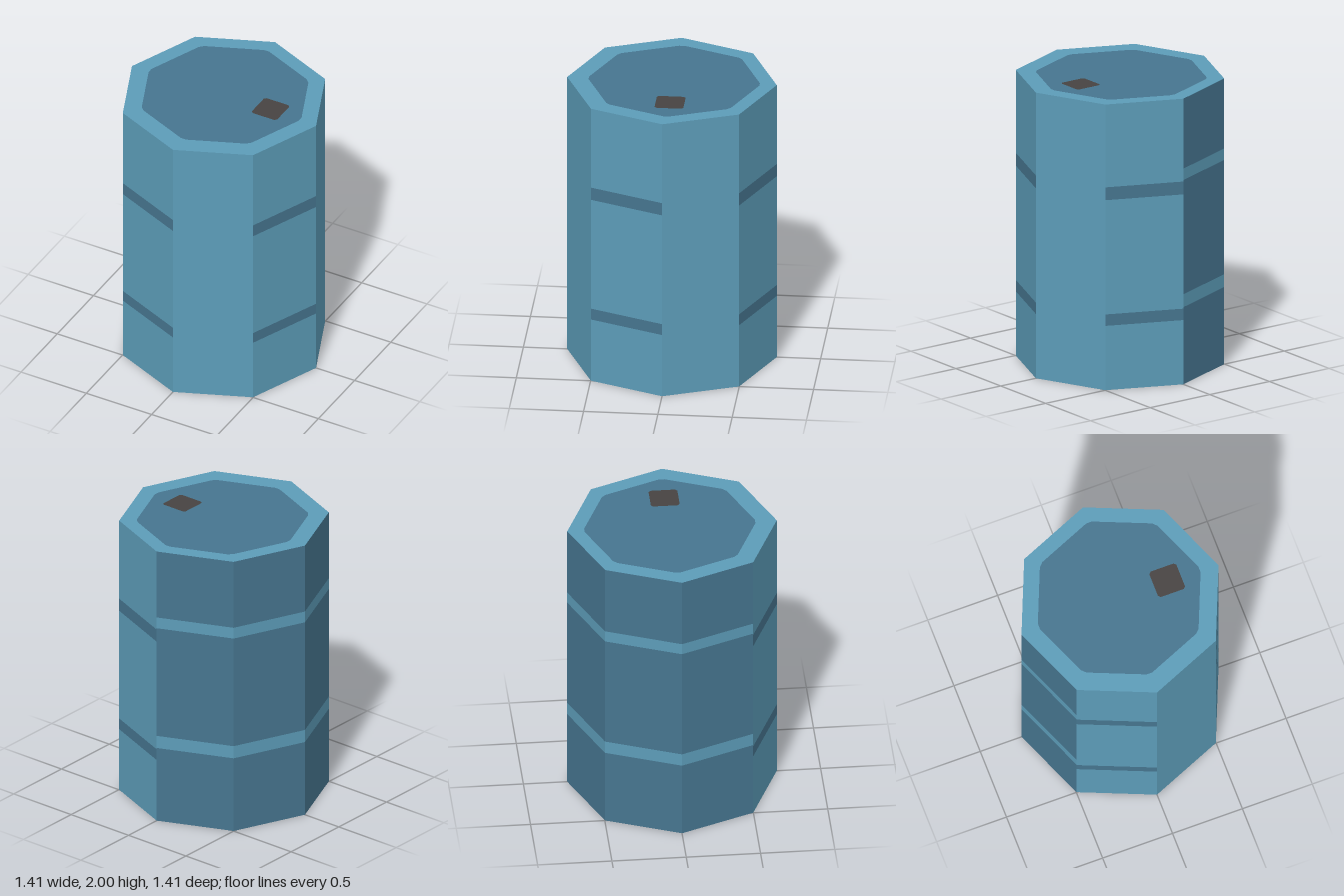
import * as THREE from 'three';

const RADIUS = 0.705, HEIGHT = 2, SIDES = 8;

function mat(name, color) {
  const m = new THREE.MeshStandardMaterial({ color });
  m.name = name;
  return m;
}

// Corner points of a regular octagon; cut trims each corner by a small angle
function octagon(radius, cy = 0, cut = 0) {
  const pts = [];
  for (let i = 0; i < SIDES; i++) {
    const a = (i / SIDES) * Math.PI * 2;
    for (const d of cut ? [-cut, cut] : [0]) {
      pts.push(new THREE.Vector2(radius * Math.cos(a + d), cy + radius * Math.sin(a + d)));
    }
  }
  return pts;
}

// Square with clipped corners
function clippedSquare(cx, cy, half, clip) {
  const pts = [];
  const h = half, k = half - clip;
  for (const [x, y] of [[h, -k], [h, k], [k, h], [-k, h], [-h, k], [-h, -k], [-k, -h], [k, -h]]) {
    pts.push(new THREE.Vector2(cx + x, cy + y));
  }
  return pts;
}

export function createModel() {
  const light = mat('lightBlue', 0x5c9cb8);
  const dark = mat('darkBlue', 0x46758f);
  const grey = mat('plugGrey', 0x474342);
  const model = new THREE.Group();
  model.name = 'barrel';

  // Side panels: flat strips stacked between the band edges
  const low = [0, 0.45, 0.53, 1.33, 1.42, HEIGHT];
  const high = [0, 0.54, 0.63, 1.43, 1.51, HEIGHT];
  const plain = { cuts: [0, HEIGHT], base: light, band: light };
  const banded = { cuts: low, base: light, band: dark };
  const inverted = { cuts: high, base: dark, band: light };
  // Going round from +x towards +z
  const panels = [banded, plain, banded, inverted, inverted, inverted, banded, plain];
  const width = 2 * RADIUS * Math.sin(Math.PI / SIDES);
  const apothem = RADIUS * Math.cos(Math.PI / SIDES);

  panels.forEach(({ cuts, base, band }, i) => {
    const panel = new THREE.Group();
    panel.name = 'sidePanel' + (i + 1);
    for (let j = 0; j < cuts.length - 1; j++) {
      const h = cuts[j + 1] - cuts[j];
      const strip = new THREE.Mesh(new THREE.PlaneGeometry(width, h), j % 2 ? band : base);
      strip.name = j % 2 ? 'band' : 'wall';
      strip.position.set(0, cuts[j] + h / 2, apothem);
      panel.add(strip);
    }
    panel.rotation.y = Math.PI / 2 - ((i + 0.5) / SIDES) * Math.PI * 2;
    model.add(panel);
  });

  // End caps: rim, inset lid and plug, all flush
  const lidOutline = octagon(0.575, 0.015, 0.035);
  const plugOutline = clippedSquare(0.345, 0.02, 0.097, 0.015);
  function makeCap(name) {
    const cap = new THREE.Group();
    cap.name = name;
    const addFace = (partName, outline, hole, material) => {
      const shape = new THREE.Shape(outline);
      if (hole) shape.holes.push(new THREE.Path(hole));
      const face = new THREE.Mesh(new THREE.ShapeGeometry(shape).rotateX(-Math.PI / 2), material);
      face.name = partName;
      cap.add(face);
    };
    addFace('rim', octagon(RADIUS), lidOutline, light);
    addFace('lid', lidOutline, plugOutline, dark);
    addFace('plug', plugOutline, null, grey);
    return cap;
  }
  const top = makeCap('topCap');
  top.position.y = HEIGHT;
  const bottom = makeCap('bottomCap');
  bottom.rotation.x = Math.PI;
  model.add(top, bottom);

  return model;
}
